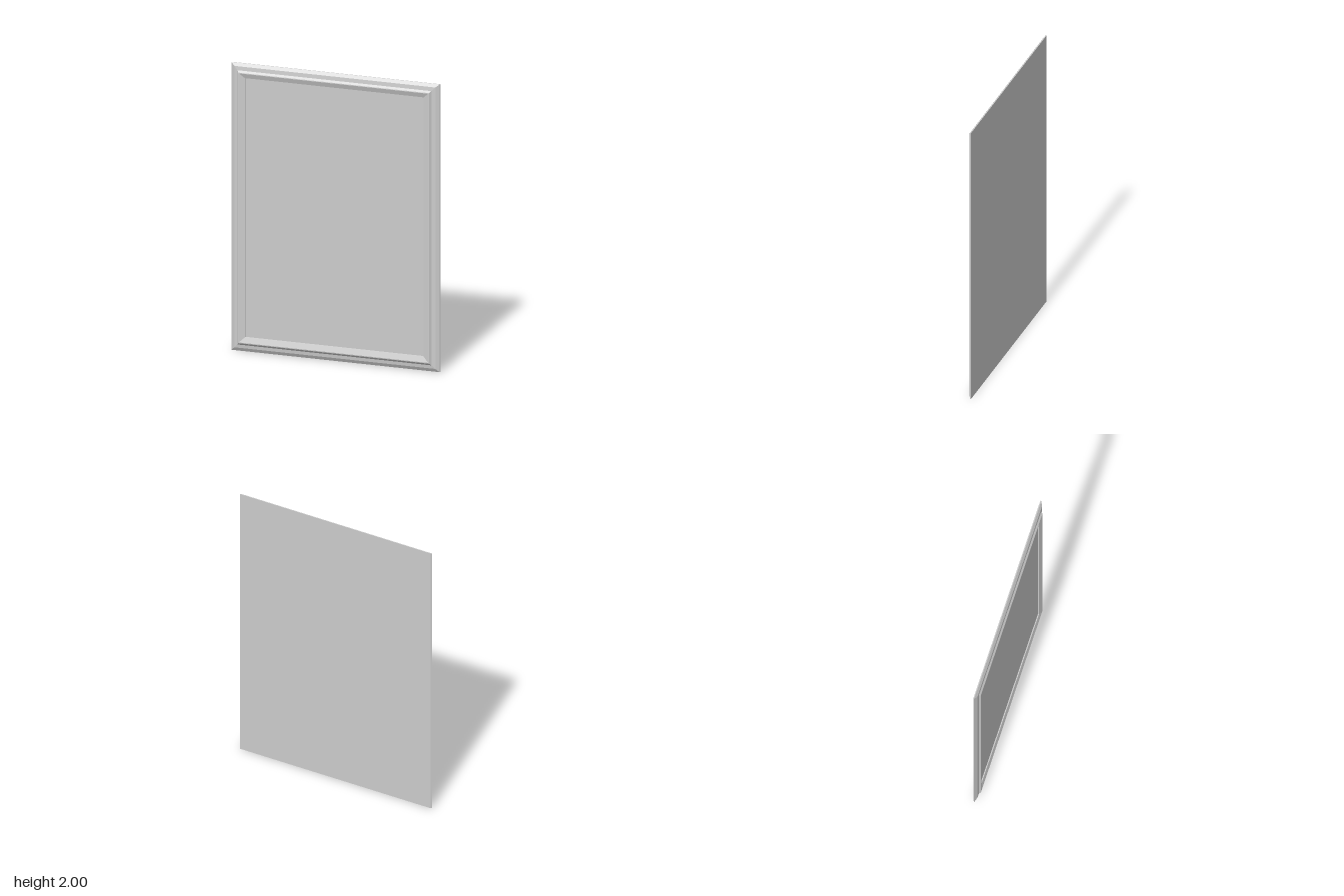
import * as THREE from 'three';

const material = new THREE.MeshStandardMaterial({ color: 0xcccccc, flatShading: true });

// Corners of a rectangular loop [left, right, bottom, top, depth], counter-clockwise from the front
const corners = ([x0, x1, y0, y1, z]) => [[x0, y0, z], [x1, y0, z], [x1, y1, z], [x0, y1, z]];

function quadMesh(name, quads) {
  const positions = quads.flatMap(([a, b, c, d]) => [a, b, c, a, c, d]).flat();
  const geometry = new THREE.BufferGeometry();
  geometry.setAttribute('position', new THREE.Float32BufferAttribute(positions, 3));
  geometry.computeVertexNormals();
  const mesh = new THREE.Mesh(geometry, material);
  mesh.name = name;
  return mesh;
}

// Mitred band joining each loop to the next one
function mitredBand(name, loops) {
  const quads = [];
  for (let i = 0; i < loops.length - 1; i++) {
    const outer = corners(loops[i]), inner = corners(loops[i + 1]);
    for (let k = 0; k < 4; k++) {
      const n = (k + 1) % 4;
      quads.push([outer[k], outer[n], inner[n], inner[k]]);
    }
  }
  return quadMesh(name, quads);
}

export function createModel() {
  const group = new THREE.Group();
  group.name = 'framedPanel';

  // Moulding loops from the back edge, over the crest, down to the panel
  const back = [-0.727, 0.734, 0, 2, -0.018];
  const edge = [-0.734, 0.73, 0, 2, -0.011];
  const shoulder = [-0.709, 0.705, 0.024, 1.98, 0.003];
  const ledge = [-0.686, 0.678, 0.047, 1.953, 0.006];
  const crestOuter = [-0.677, 0.667, 0.06, 1.941, 0.017];
  const crestInner = [-0.672, 0.66, 0.066, 1.936, 0.018];
  const lip = [-0.634, 0.624, 0.102, 1.904, 0.007];
  const rim = [-0.632, 0.622, 0.104, 1.902, 0];

  group.add(mitredBand('outerBevel', [back, edge, shoulder]));
  group.add(mitredBand('frameMoulding', [shoulder, ledge, crestOuter, crestInner]));
  group.add(mitredBand('innerSlope', [crestInner, lip, rim]));

  // Recessed front panel and flat back
  group.add(quadMesh('frontPanel', [corners(rim)]));
  group.add(quadMesh('backPanel', [corners(back).reverse()]));
  return group;
}
